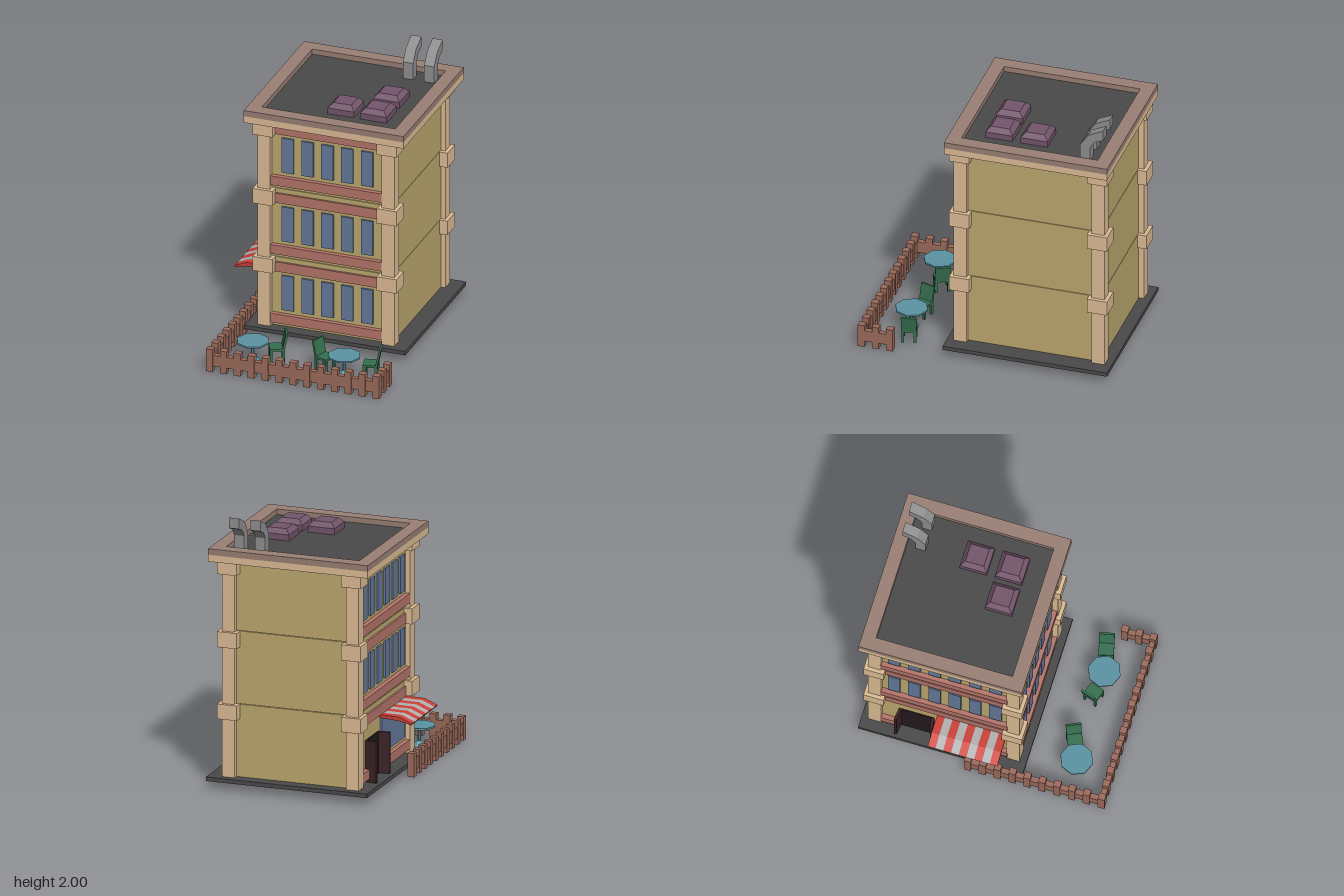
import * as THREE from 'three';

const COLORS = {
  stone: 0xdebe96, wall: 0xbda96f, band: 0xb5756a, glass: 0x667a9c, rim: 0x9a8075,
  dark: 0x4a4a4a, skylight: 0x74566c, pipe: 0x909090, fence: 0x9c6b5c, table: 0x5b93a3,
  chair: 0x35704f, door: 0x3d2226, interior: 0x241a1c, red: 0xcc4038, grey: 0xb0b0b0,
};
const mats = {};
for (const k in COLORS) {
  mats[k] = new THREE.MeshStandardMaterial({ color: COLORS[k], flatShading: true });
}

function add(parent, name, geo, mat, x = 0, y = 0, z = 0) {
  const m = new THREE.Mesh(geo, mats[mat]);
  m.name = name;
  m.position.set(x, y, z);
  parent.add(m);
  return m;
}

// Box given by its min/max corners
function box(parent, name, mat, x0, x1, y0, y1, z0, z1) {
  return add(parent, name, new THREE.BoxGeometry(x1 - x0, y1 - y0, z1 - z0), mat,
    (x0 + x1) / 2, (y0 + y1) / 2, (z0 + z1) / 2);
}

function group(parent, name, x = 0, y = 0, z = 0, ry = 0) {
  const g = new THREE.Group();
  g.name = name;
  g.position.set(x, y, z);
  g.rotation.y = ry;
  parent.add(g);
  return g;
}

// Extruded closed outline, depth along local z
function prism(points, depth) {
  const shape = new THREE.Shape(points.map(p => new THREE.Vector2(...p)));
  return new THREE.ExtrudeGeometry(shape, { depth, bevelEnabled: false });
}

const FLOORS = [0.09, 0.63, 1.17];
const CX = 0.035, CZ = -0.31;      // building centre
const WX = 0.485, WZ = 0.52;       // wall half sizes

// One decorated storey on a wall facing local +z
function storey(parent, base, half, wallZ, centers) {
  const g = group(parent, 'storeyFront', 0, base, wallZ);
  box(g, 'upperBand', 'band', -half, half, 0.425, 0.5, -0.01, 0.015);
  for (const c of centers) box(g, 'window', 'glass', c - 0.045, c + 0.045, 0.13, 0.4, -0.01, 0.015);
  return g;
}

function lowerBand(g, x0, x1) {
  box(g, 'lowerBand', 'band', x0, x1, 0.03, 0.1, -0.01, 0.035);
}

function buildWalls(b) {
  FLOORS.forEach((y, i) => {
    box(b, 'wall', 'wall', -WX, WX, y, (FLOORS[i + 1] ?? 1.69) - 0.004, -WZ, WZ);
  });
  box(b, 'wallCore', 'wall', -WX + 0.01, WX - 0.01, 0.09, 1.69, -WZ + 0.01, WZ - 0.01);

  // Front and side facades
  const side = group(b, 'sideFacade', 0, 0, 0, -Math.PI / 2);
  const row = n => Array.from({ length: n }, (_, i) => (i - (n - 1) / 2) * 0.15);
  FLOORS.forEach((y, i) => {
    lowerBand(storey(b, y, 0.43, WZ, row(5)), -0.43, 0.43);
    const s = storey(side, y, 0.47, WX, i ? row(6) : []);
    if (i) return lowerBand(s, -0.47, 0.47);
    // Ground floor side: shop window and double door
    lowerBand(s, -0.47, -0.34);
    lowerBand(s, -0.08, 0.47);
    box(s, 'shopWindow', 'glass', -0.04, 0.42, 0.13, 0.4, -0.01, 0.015);
    box(s, 'doorway', 'interior', -0.33, -0.09, 0, 0.31, -0.01, 0.008);
    for (const d of [-1, 1]) {
      const hinge = group(s, 'doorHinge', -0.21 + d * 0.12, 0, 0, d * 0.15);
      box(hinge, 'doorLeaf', 'door', -0.01, 0.01, 0.005, 0.31, 0, 0.09);
    }
  });
}

function buildColumns(b) {
  for (const sx of [-1, 1]) for (const sz of [-1, 1]) {
    const c = group(b, 'column', sx * 0.47, 0, sz * 0.512);
    box(c, 'columnShaft', 'stone', -0.048, 0.048, 0.09, 1.69, -0.048, 0.048);
    for (const [y0, y1] of [[0.52, 0.63], [1.05, 1.165], [1.59, 1.69]]) {
      box(c, 'columnBlock', 'stone', -0.075, 0.075, y0, y1, -0.075, 0.075);
    }
  }
}

function buildRoof(b) {
  box(b, 'cornice', 'stone', -0.605, 0.605, 1.68, 1.73, -0.605, 0.605);
  const rim = new THREE.Shape([[-1, -1], [1, -1], [1, 1], [-1, 1]].map(([x, y]) => new THREE.Vector2(x * 0.605, y * 0.605)));
  rim.holes.push(new THREE.Path([[-1, -1], [-1, 1], [1, 1], [1, -1]].map(([x, y]) => new THREE.Vector2(x * 0.505, y * 0.505))));
  const geo = new THREE.ExtrudeGeometry(rim, { depth: 0.045, bevelEnabled: false }).rotateX(-Math.PI / 2);
  add(b, 'roofRim', geo, 'rim', 0, 1.73, 0);
  box(b, 'roofDeck', 'dark', -0.506, 0.506, 1.72, 1.735, -0.506, 0.506);
}

function buildRoofDetails(root) {
  // Skylights: square curb with a bevelled top
  for (const [x, z] of [[0.075, -0.045], [0.32, -0.045], [0.32, -0.305]]) {
    const s = group(root, 'skylight', x, 1.73, z);
    box(s, 'skylightCurb', 'skylight', -0.1, 0.1, 0, 0.05, -0.1, 0.1);
    const top = new THREE.CylinderGeometry(0.068 * Math.SQRT2, 0.1 * Math.SQRT2, 0.035, 4).rotateY(Math.PI / 4);
    add(s, 'skylightTop', top, 'skylight', 0, 0.0675, 0);
  }
  // Bent square vent pipes, outline in (-z, y)
  const bend = [[0.675, 1.73], [0.748, 1.73], [0.748, 1.845], [0.78, 1.895], [0.845, 1.922],
    [0.845, 2], [0.735, 1.948], [0.675, 1.863]];
  for (const x of [0.27, 0.43]) {
    add(root, 'ventPipe', prism(bend, 0.076).rotateY(Math.PI / 2), 'pipe', x, 0, 0);
  }
}

function buildAwning(root) {
  const profile = [[-0.45, 0.49], [-0.45, 0.512], [-0.6, 0.51], [-0.695, 0.47], [-0.69, 0.458], [-0.6, 0.48]];
  const w = 0.515 / 9;
  for (let i = 0; i < 9; i++) {
    add(root, 'awningStripe', prism(profile, w), i % 2 ? 'grey' : 'red', 0, 0, -0.365 + i * w);
  }
}

// Run of pickets with a rail, along local +x from the origin
function fenceRun(root, x, z, ry, length, count) {
  const g = group(root, 'fence', x, 0, z, ry);
  box(g, 'fenceRail', 'fence', -0.02, length + 0.02, 0.045, 0.13, -0.02, 0.02);
  for (let i = 0; i < count; i++) {
    const c = i * length / (count - 1);
    box(g, 'fencePicket', 'fence', c - 0.025, c + 0.025, 0, 0.175, -0.025, 0.025);
  }
}

function buildTable(root, x, z) {
  const t = group(root, 'table', x, 0, z);
  add(t, 'tableTop', new THREE.CylinderGeometry(0.12, 0.12, 0.012, 8), 'table', 0, 0.152, 0);
  add(t, 'tablePole', new THREE.CylinderGeometry(0.014, 0.014, 0.12, 8), 'table', 0, 0.09, 0);
  add(t, 'tableNeck', new THREE.CylinderGeometry(0.04, 0.014, 0.025, 8), 'table', 0, 0.135, 0);
  add(t, 'tableFoot', new THREE.CylinderGeometry(0.014, 0.055, 0.035, 8), 'table', 0, 0.0225, 0);
}

// Chair with its back toward local +x
function buildChair(root, x, z, degrees) {
  const c = group(root, 'chair', x, 0.01, z, THREE.MathUtils.degToRad(degrees));
  box(c, 'seat', 'chair', -0.062, 0.045, 0.085, 0.102, -0.055, 0.055);
  for (const lx of [-0.052, 0.035]) for (const lz of [-0.045, 0.045]) {
    box(c, 'leg', 'chair', lx - 0.01, lx + 0.01, 0, 0.09, lz - 0.01, lz + 0.01);
  }
  const back = add(c, 'backrest', new THREE.BoxGeometry(0.016, 0.128, 0.11), 'chair', 0.048, 0.153, 0);
  back.rotation.z = -0.2;
}

export function createModel() {
  const root = new THREE.Group();
  root.name = 'building';

  box(root, 'basePlate', 'dark', -0.565, 0.655, 0.06, 0.09, -0.92, 0.3);
  const b = group(root, 'house', CX, 0, CZ);
  buildWalls(b);
  buildColumns(b);
  buildRoof(b);
  buildRoofDetails(root);
  buildAwning(root);

  // Terrace
  fenceRun(root, -0.595, 0.895, 0, 1.26, 13);
  fenceRun(root, -0.595, 0.895, Math.PI / 2, 0.99, 10);
  fenceRun(root, 0.665, 0.895, Math.PI / 2, 0.21, 3);
  buildTable(root, -0.37, 0.64);
  buildTable(root, 0.32, 0.635);
  buildChair(root, -0.205, 0.575, 25);
  buildChair(root, 0.155, 0.6, 162);
  buildChair(root, 0.515, 0.592, 13);
  return root;
}
